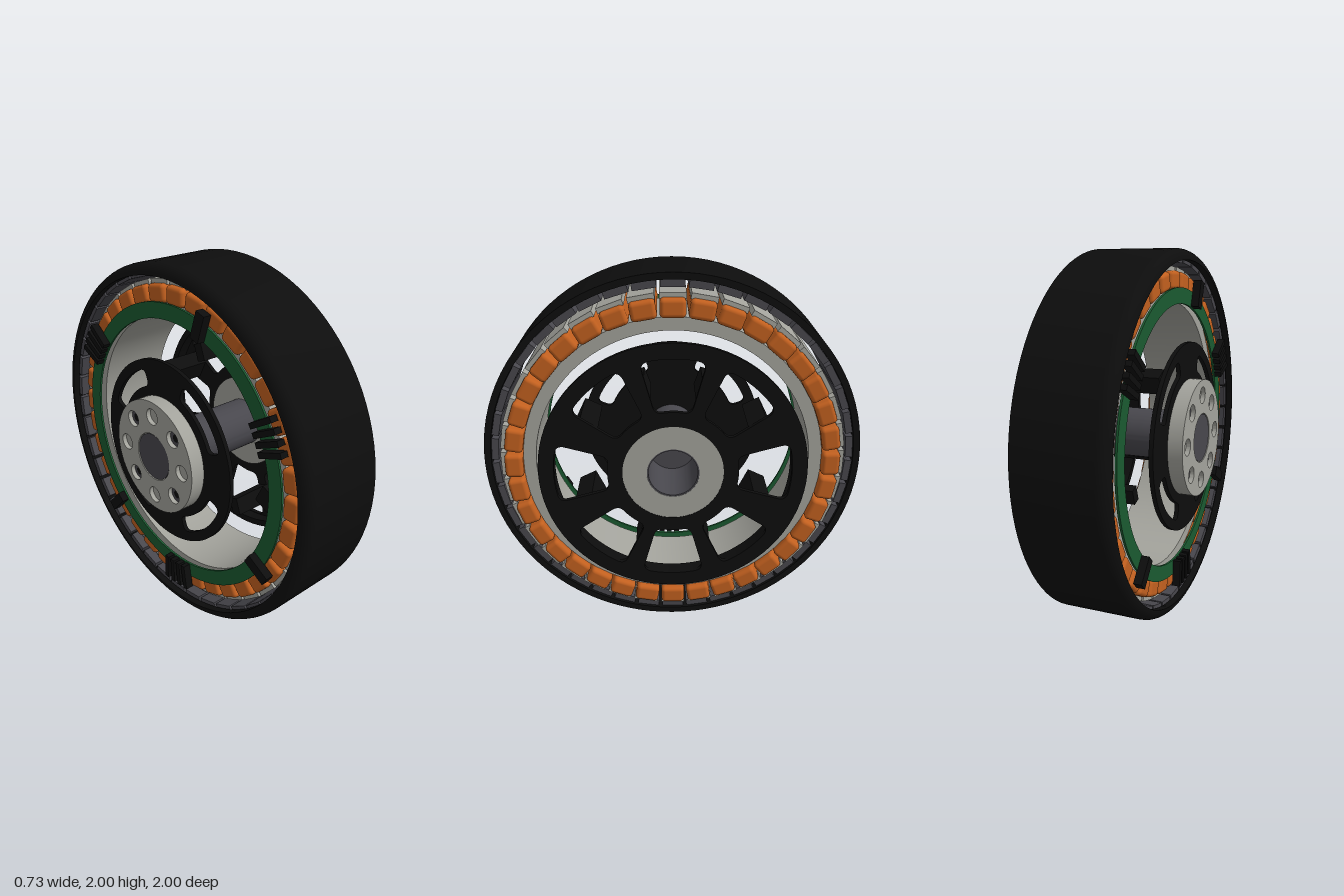
import * as THREE from 'three';
import { toCreasedNormals } from 'three/addons/utils/BufferGeometryUtils.js';
import { RoundedBoxGeometry } from 'three/addons/geometries/RoundedBoxGeometry.js';

const mat = (name, color) => Object.assign(new THREE.MeshStandardMaterial({ color }), { name });

export function createModel() {
  const black = mat('black shell', 0x0d0d0d);
  const dark = mat('dark steel', 0x48474d);
  const grey = mat('grey steel', 0xa3a39c);
  const copper = mat('copper winding', 0xc2601f);
  const green = mat('green board', 0x1a5a30);

  // Everything is built around the z axis, then turned so the axle lies along x
  const motor = new THREE.Group();
  motor.name = 'hubMotor';

  const add = (name, geo, material, parent = motor) => {
    const m = new THREE.Mesh(geo, material);
    m.name = name;
    parent.add(m);
    return m;
  };

  // Solid of revolution from a closed counter-clockwise (radius, z) outline
  const revolve = (pts) => {
    const outline = [...pts, pts[0]].map(([r, z]) => new THREE.Vector2(r, z));
    return toCreasedNormals(new THREE.LatheGeometry(outline, 96).rotateX(Math.PI / 2), 0.5);
  };
  const ring = (r0, r1, z0, z1) => revolve([[r0, z0], [r1, z0], [r1, z1], [r0, z1]]);
  const disc = (r, z0, z1) =>
    new THREE.CylinderGeometry(r, r, z1 - z0, 48).rotateX(Math.PI / 2).translate(0, 0, (z0 + z1) / 2);

  // Places a mesh at a radius and an angle measured from the top
  const polar = (mesh, r, a, z) => {
    mesh.position.set(-r * Math.sin(a), r * Math.cos(a), z);
    mesh.rotation.z = a;
  };
  const rad = THREE.MathUtils.degToRad;

  // Rounded ring-sector hole centred on an angle (degrees from the top)
  const slot = (r0, r1, centre, half, c) => {
    const p = new THREE.Path();
    const mid = rad(centre + 90), h0 = rad(half), h1 = rad(half);
    const at = (r, a) => [r * Math.cos(a), r * Math.sin(a)];
    p.absarc(0, 0, r1, mid - h1 + c / r1, mid + h1 - c / r1, false);
    p.quadraticCurveTo(...at(r1, mid + h1), ...at(r1 - c, mid + h1));
    p.lineTo(...at(r0 + c, mid + h0));
    p.quadraticCurveTo(...at(r0, mid + h0), ...at(r0, mid + h0 - c / r0));
    p.absarc(0, 0, r0, mid + h0 - c / r0, mid - h0 + c / r0, true);
    p.quadraticCurveTo(...at(r0, mid - h0), ...at(r0 + c, mid - h0));
    p.lineTo(...at(r1 - c, mid - h1));
    p.quadraticCurveTo(...at(r1, mid - h1), ...at(r1, mid - h1 + c / r1));
    return p;
  };
  const round = (r, x = 0, y = 0) => new THREE.Path().absarc(x, y, r, 0, Math.PI * 2, false);
  const plate = (r, z0, z1, holes) => {
    const s = new THREE.Shape().absarc(0, 0, r, 0, Math.PI * 2, false);
    s.holes.push(...holes);
    const g = new THREE.ExtrudeGeometry(s, { depth: z1 - z0, bevelEnabled: false, curveSegments: 40 });
    return toCreasedNormals(g.translate(0, 0, z0), 0.5);
  };

  // Outer rotor shell with one rounded lip
  const lip = [];
  for (let i = 0; i <= 6; i++) {
    const a = (i / 6) * Math.PI / 2;
    lip.push([0.94 + 0.06 * Math.sin(a), -0.21 - 0.06 * Math.cos(a)]);
  }
  add('rotorShell', revolve([...lip, [1, 0.215], [0.965, 0.215], [0.965, -0.23], [0.94, -0.23]]), black);

  // Magnets lining the shell
  const magnets = new THREE.Group();
  magnets.name = 'magnets';
  motor.add(magnets);
  const magnetGeo = new THREE.BoxGeometry(0.122, 0.037, 0.42);
  for (let i = 0; i < 42; i++) {
    polar(add('magnet', magnetGeo, dark, magnets), 0.944, (i / 42) * Math.PI * 2, -0.01);
  }

  // Stator ring, tooth tips and windings
  add('statorRing', ring(0.722, 0.79, -0.175, 0.235), grey);
  const stator = new THREE.Group();
  stator.name = 'statorTeeth';
  motor.add(stator);
  const tipGeo = new THREE.BoxGeometry(0.134, 0.03, 0.41);
  const coilGeo = new RoundedBoxGeometry(0.13, 0.097, 0.485, 3, 0.022);
  for (let i = 0; i < 36; i++) {
    const a = (i / 36) * Math.PI * 2;
    polar(add('toothTip', tipGeo, grey, stator), 0.893, a, 0.03);
    polar(add('coil', coilGeo, copper, stator), 0.837, a, 0.0325);
  }

  // Circuit board ring with its connectors
  add('circuitBoard', ring(0.715, 0.8, -0.225, -0.213), green);
  const finGeo = new THREE.BoxGeometry(0.03, 0.15, 0.045);
  for (const deg of [64, 177, 302]) {
    for (let k = -1.5; k <= 1.5; k++) {
      polar(add('connectorFin', finGeo, black), 0.795, rad(deg) + k * 0.065, -0.245);
    }
  }
  for (const deg of [18, 120, 223]) {
    polar(add('connectorBlock', new THREE.BoxGeometry(0.06, 0.15, 0.045), black), 0.795, rad(deg), -0.245);
  }

  // Spoked cover with a stepped rim and supports behind the spokes
  const slots = [0, 41, 90, 139, 180, 221, 270, 319].map((d) => slot(0.34, 0.615, d, 15.5, 0.045));
  add('coverPlate', plate(0.695, 0.335, 0.36, [...slots, round(0.262)]), black);
  add('coverStep', ring(0.618, 0.655, 0.27, 0.335), black);
  for (const deg of [64, 116, 244, 296]) {
    polar(add('coverSupport', new THREE.BoxGeometry(0.12, 0.1, 0.3), black), 0.5, rad(deg), 0.185);
  }
  for (const deg of [20, 160, 200, 340]) {
    polar(add('coverPost', new THREE.BoxGeometry(0.06, 0.1, 0.24), black), 0.46, rad(deg), 0.215);
  }

  // Front hub, hollow axle and its inner floor
  add('frontHub', ring(0.136, 0.265, 0.3, 0.358), grey);
  add('axleTube', ring(0.128, 0.136, -0.3, 0.356), dark);
  add('axleCore', disc(0.13, -0.362, 0.05), dark);

  // Slotted back disc
  const backSlots = [45, 135, 225, 315].map((d) => slot(0.37, 0.46, d, 25, 0.035));
  add('backDisc', plate(0.515, -0.285, -0.262, [...backSlots, round(0.136)]), black);

  // Back mounting flange with eight bolt holes
  const boltHoles = [];
  for (let i = 0; i < 8; i++) {
    const a = (i / 8) * Math.PI * 2;
    const x = -0.235 * Math.sin(a), y = 0.235 * Math.cos(a);
    boltHoles.push(round(0.045, x, y));
    const floor = add('boltHoleFloor', disc(0.046, -0.34, -0.3), i % 2 ? dark : grey);
    floor.position.set(x, y, 0);
    if (i % 2) {
      const bolt = add('boltSocket', disc(0.022, -0.343, -0.3), black);
      bolt.position.set(x, y, 0);
    }
  }
  add('mountFlange', plate(0.318, -0.365, -0.285, [...boltHoles, round(0.134)]), grey);

  motor.rotation.y = Math.PI / 2;
  motor.position.y = 1;
  const model = new THREE.Group();
  model.name = 'wheelMotor';
  model.add(motor);
  return model;
}
